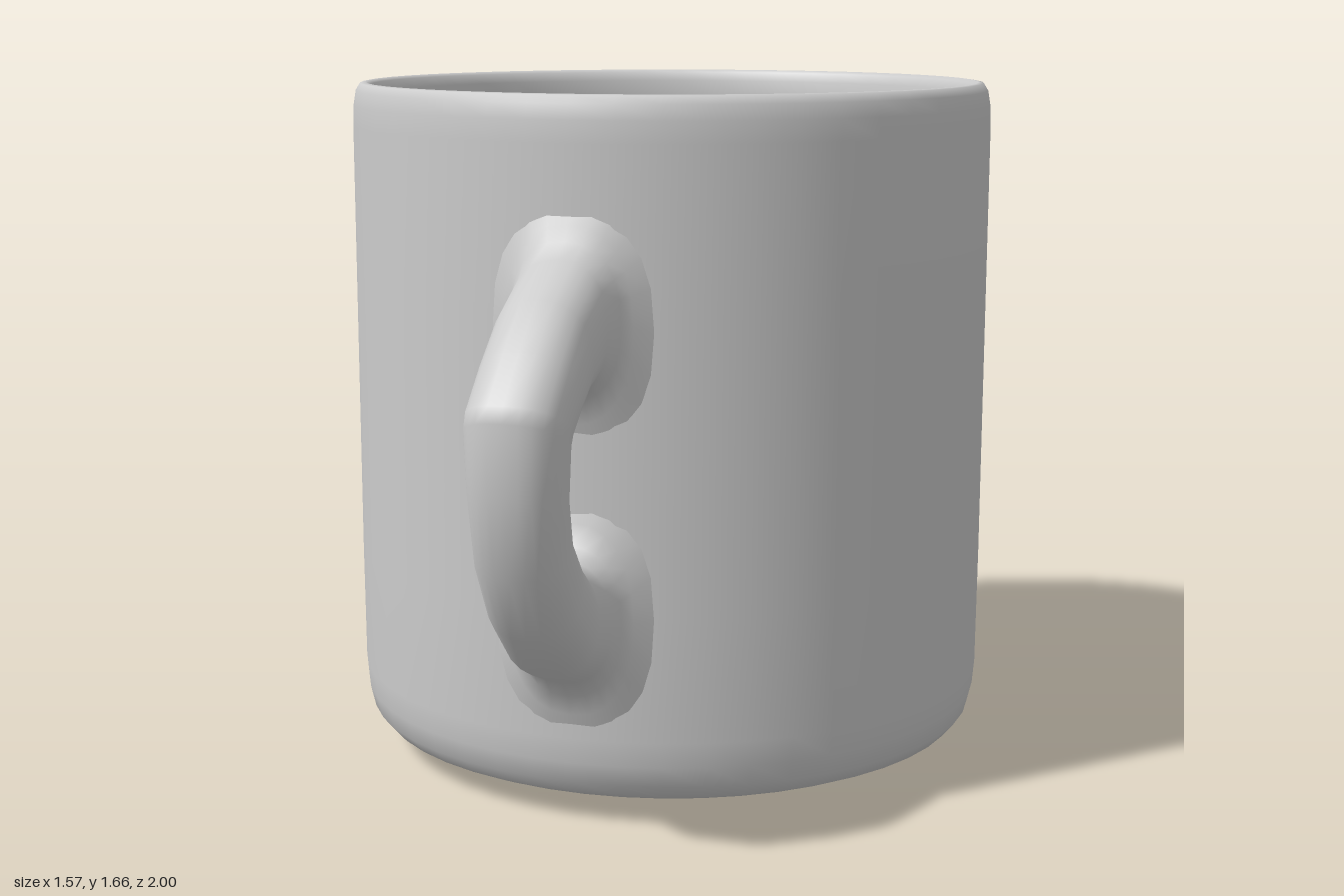
import * as THREE from 'three';

const material = new THREE.MeshStandardMaterial({ color: 0xcccccc });
const CENTRE_Z = -0.212;

// Lofts rounded sections; each row is outer z, outer y, inner z, inner y, half width.
function loftHandle(sections, sides) {
  const positions = [];
  const indices = [];
  const soften = (v) => Math.sign(v) * Math.abs(v) ** 0.85;
  sections.forEach(([oz, oy, iz, iy, w], i) => {
    for (let j = 0; j < sides; j++) {
      const t = (j / sides) * Math.PI * 2;
      const c = soften(Math.cos(t)) / 2;
      positions.push(w * soften(Math.sin(t)), (oy + iy) / 2 + (oy - iy) * c, (oz + iz) / 2 + (oz - iz) * c);
      if (i < sections.length - 1) {
        const a = i * sides + j;
        const b = i * sides + ((j + 1) % sides);
        indices.push(a, a + sides, b, b, a + sides, b + sides);
      }
    }
  });
  const geometry = new THREE.BufferGeometry();
  geometry.setAttribute('position', new THREE.Float32BufferAttribute(positions, 3));
  geometry.setIndex(indices);
  geometry.computeVertexNormals();
  return geometry;
}

export function createModel() {
  const group = new THREE.Group();
  group.name = 'mug';

  // Body: slightly domed base, outer wall, rounded rim, inner wall and floor
  const profile = [
    [0, 0], [0.2, 0.006], [0.45, 0.023], [0.62, 0.037], [0.7, 0.048], [0.74, 0.066],
    [0.768, 0.1], [0.78, 0.15], [0.785, 0.21], [0.787, 0.5], [0.787, 1.2], [0.787, 1.56],
    [0.785, 1.61], [0.779, 1.645], [0.768, 1.663], [0.755, 1.665], [0.742, 1.658], [0.733, 1.635],
    [0.73, 1.59], [0.73, 1.2], [0.73, 0.32], [0.72, 0.23], [0.69, 0.16], [0.63, 0.12],
    [0.5, 0.095], [0.25, 0.075], [0, 0.07],
  ].map(([r, y]) => new THREE.Vector2(r, y));
  const body = new THREE.Mesh(new THREE.LatheGeometry(profile, 48), material);
  body.name = 'body';
  body.position.z = CENTRE_Z;
  group.add(body);

  // Handle: flared root, angular shoulder, curved grip, flared lower root
  const sections = [
    [0.55, 1.46, 0.55, 0.84, 0.19],
    [0.582, 1.385, 0.58, 0.94, 0.15],
    [0.6, 1.35, 0.6, 0.995, 0.128],
    [0.65, 1.315, 0.65, 1.02, 0.115],
    [0.78, 1.245, 0.7, 1.01, 0.113],
    [0.89, 1.15, 0.755, 0.98, 0.113],
    [0.985, 1.055, 0.805, 0.945, 0.113],
    [1.0, 1.02, 0.815, 0.925, 0.112],
    [1.0, 0.86, 0.812, 0.83, 0.106],
    [0.965, 0.68, 0.785, 0.75, 0.104],
    [0.87, 0.525, 0.735, 0.69, 0.108],
    [0.74, 0.405, 0.69, 0.65, 0.114],
    [0.645, 0.365, 0.64, 0.648, 0.118],
    [0.6, 0.32, 0.6, 0.67, 0.128],
    [0.582, 0.27, 0.58, 0.72, 0.15],
    [0.55, 0.18, 0.55, 0.82, 0.19],
  ];
  const handle = new THREE.Mesh(loftHandle(sections, 24), material);
  handle.name = 'handle';
  group.add(handle);

  return group;
}
